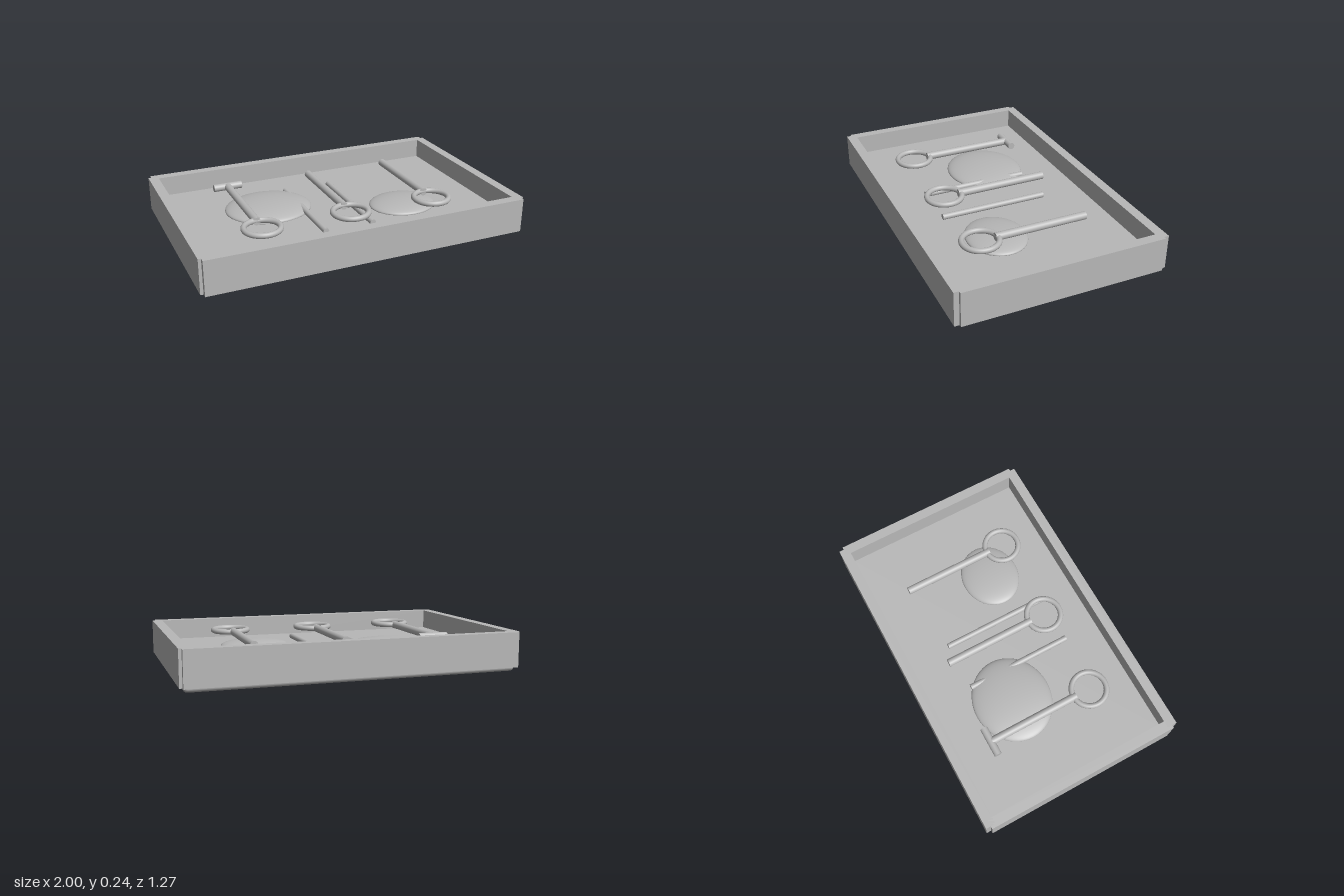
import * as THREE from 'three';
import { RoundedBoxGeometry } from 'three/addons/geometries/RoundedBoxGeometry.js';

export function createModel() {
  const model = new THREE.Group();
  model.name = 'toolTray';
  const grey = new THREE.MeshStandardMaterial({ color: 0xb8b8b8 });
  grey.name = 'plain grey';

  const add = (name, geometry, x, y, z, parent = model) => {
    const mesh = new THREE.Mesh(geometry, grey);
    mesh.name = name;
    mesh.position.set(x, y, z);
    parent.add(mesh);
    return mesh;
  };
  // cylinder lying along z
  const rod = (name, r, z0, z1, x, y, parent) =>
    add(name, new THREE.CylinderGeometry(r, r, z1 - z0, 24).rotateX(Math.PI / 2), x, y, (z0 + z1) / 2, parent);

  // tray: thick soft-edged base and four walls
  const floorY = 0.115;
  add('trayBase', new RoundedBoxGeometry(1.96, floorY, 1.21, 4, 0.025), 0, floorY / 2, 0);
  for (const s of [-1, 1]) {
    add(s > 0 ? 'frontWall' : 'backWall', new THREE.BoxGeometry(1.965, 0.21, 0.06), 0, 0.133, s * 0.605);
    add(s > 0 ? 'leftWall' : 'rightWall', new THREE.BoxGeometry(0.06, 0.21, 1.21), s * 0.97, 0.133, 0);
  }

  // flattened domes set into the floor
  const dome = (name, x, z, rx, ry, rz) =>
    add(name, new THREE.SphereGeometry(1, 48, 32), x, floorY + 0.003, z).scale.set(rx, ry, rz);
  dome('largeDish', -0.365, -0.125, 0.27, 0.046, 0.24);
  dome('smallDish', 0.425, 0.15, 0.21, 0.036, 0.18);

  // ring-handled tools
  const toolY = 0.197;
  [-0.55, 0, 0.545].forEach((x, i) => {
    const tool = new THREE.Group();
    tool.name = 'ringTool' + (i + 1);
    model.add(tool);
    rod('shaft', 0.024, -0.365, 0.21, x, toolY, tool);
    add('ringHandle', new THREE.TorusGeometry(0.106, 0.017, 16, 48).rotateX(Math.PI / 2), x, toolY, 0.3, tool);
    // crossbar on the first tool
    if (i === 0) {
      add('crossbar', new THREE.CylinderGeometry(0.023, 0.023, 0.18, 24).rotateZ(Math.PI / 2), x, toolY, -0.37, tool);
    }
  });

  // thin rods lying on the floor
  for (const x of [-0.182, 0.12]) rod('thinRod', 0.018, -0.31, 0.36, x, 0.13);

  return model;
}
